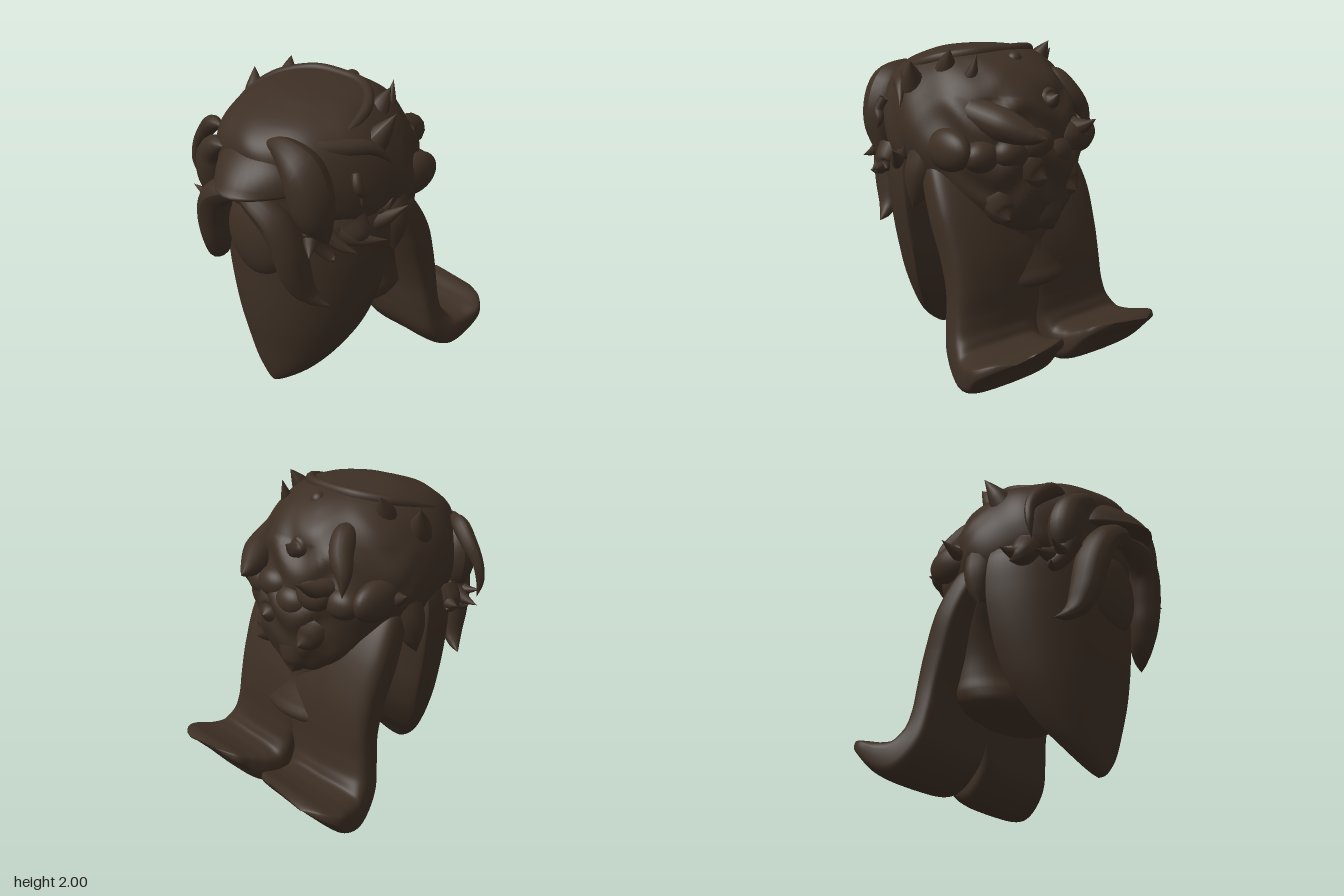
import * as THREE from 'three';
import { ParametricGeometry } from 'three/addons/geometries/ParametricGeometry.js';

const material = new THREE.MeshStandardMaterial({ color: 0x3d2f24, side: THREE.DoubleSide });

// Smoothly interpolates rows of numbers; t runs 0..1 over the rows.
function sampler(rows) {
  const n = rows.length - 1;
  return (t) => {
    const f = Math.min(Math.max(t, 0), 1) * n;
    const i = Math.min(Math.floor(f), n - 1), w = f - i;
    const at = (k) => rows[Math.min(Math.max(k, 0), n)];
    return rows[0].map((_, c) => {
      const a = at(i - 1)[c], b = at(i)[c], d = at(i + 1)[c], e = at(i + 2)[c];
      return b + 0.5 * w * (d - a + w * (2 * a - 5 * b + 4 * d - e + w * (3 * (b - d) + e - a)));
    });
  };
}

// Tapered lock of hair; each point is [x, y, z, radius].
function lock(points, squash = [1, 1, 1], segments = 24) {
  const at = sampler(points);
  const curve = new THREE.Curve();
  curve.getPoint = (t, target = new THREE.Vector3()) => target.set(...at(t).slice(0, 3));
  curve.getPointAt = curve.getPoint;
  const geo = new THREE.TubeGeometry(curve, segments, 1, 12);
  const p = geo.attributes.position, v = new THREE.Vector3(), c = new THREE.Vector3();
  const k = new THREE.Vector3(...squash);
  for (let i = 0; i < p.count; i++) {
    const t = Math.floor(i / 13) / segments;
    curve.getPoint(t, c);
    v.fromBufferAttribute(p, i).sub(c).multiplyScalar(Math.max(at(t)[3], 0.0005)).multiply(k).add(c);
    p.setXYZ(i, v.x, v.y, v.z);
  }
  geo.computeVertexNormals();
  return geo;
}

// Rounded clump of hair.
function clump(x, y, z, rx, ry, rz) {
  return new THREE.SphereGeometry(1, 28, 20).scale(rx, ry, rz).translate(x, y, z);
}

export function createModel() {
  const group = new THREE.Group();
  const add = (name, geometry) => {
    const mesh = new THREE.Mesh(geometry, material);
    mesh.name = name;
    group.add(mesh);
  };

  // Head of hair: rows of y, half width, front z, back z
  const head = sampler([
    [0.86, 0.02, -0.28, -0.32], [0.9, 0.25, -0.1, -0.45], [1.05, 0.4, 0.1, -0.54], [1.2, 0.52, 0.5, -0.57],
    [1.35, 0.59, 0.68, -0.58], [1.5, 0.61, 0.71, -0.54], [1.65, 0.58, 0.73, -0.5], [1.78, 0.52, 0.71, -0.44],
    [1.88, 0.44, 0.6, -0.34], [1.95, 0.34, 0.42, -0.22], [1.98, 0.22, 0.3, -0.11], [1.99, 0.001, 0.11, 0.11],
  ]);
  add('headHair', new ParametricGeometry((u, v, target) => {
    const [y, hw, zf, zb] = head(v);
    const a = u * Math.PI * 2, back = Math.max(0, Math.sin(a));
    const wave = 1 + Math.sin(v * Math.PI) * (0.015 * Math.sin(a * 9 + v * 14)
      + 0.025 * back * Math.sin(v * 38 + 2 * Math.cos(a * 7)) * (v < 0.6 ? 1 : 0.3));
    target.set(hw * Math.cos(a) * wave, y, (zf + zb) / 2 - (zf - zb) / 2 * Math.sin(a) * wave);
  }, 96, 72));

  // Nape under the head
  const nape = sampler([
    [0.45, 0.01, -0.12, -0.14], [0.455, 0.24, 0.0, -0.26], [0.5, 0.36, 0.11, -0.4], [0.58, 0.4, 0.13, -0.53],
    [0.68, 0.4, 0.09, -0.5], [0.82, 0.41, 0.08, -0.45], [1.0, 0.46, 0.1, -0.45], [1.2, 0.5, 0.2, -0.4],
  ]);
  add('napeHair', new ParametricGeometry((u, v, target) => {
    const [y, hw, zf, zb] = nape(v), a = u * Math.PI * 2;
    target.set(hw * Math.cos(a), y, (zf + zb) / 2 - (zf - zb) / 2 * Math.sin(a));
  }, 40, 32));

  // Beard: a full wedge, round in front, flatter behind, narrowing to a point
  const beard = sampler([
    [0.005, 0.005, 0.53, 0.5], [0.04, 0.08, 0.555, 0.47], [0.15, 0.22, 0.58, 0.4], [0.3, 0.34, 0.605, 0.3],
    [0.5, 0.45, 0.64, 0.2], [0.7, 0.52, 0.66, 0.145], [0.9, 0.57, 0.665, 0.125], [1.1, 0.6, 0.67, 0.115],
    [1.3, 0.6, 0.66, 0.13], [1.45, 0.54, 0.6, 0.15],
  ]);
  add('beard', new ParametricGeometry((u, v, target) => {
    const [y, hw, zf, zb] = beard(v), a = u * Math.PI * 2, s = -Math.sin(a);
    target.set(hw * Math.cos(a), y, zb + (zf - zb) * s * (s > 0 ? 1 : 0.1));
  }, 64, 48));
  add('chinTuft', clump(0, 1.17, 0.61, 0.245, 0.28, 0.12));

  // Fringe bulging over the nose, flat below
  const fringe = new THREE.SphereGeometry(1, 40, 28);
  const fp = fringe.attributes.position;
  for (let i = 0; i < fp.count; i++) {
    const x = fp.getX(i), y = fp.getY(i), z = fp.getZ(i);
    const nose = Math.max(0, z) * (1 - x * x) * Math.max(0, 1 - y);
    fp.setXYZ(i, 0.02 + 0.31 * x, 1.56 + (y > 0 ? 0.22 : 0.06) * y, 0.61 + 0.17 * z + 0.11 * nose);
  }
  fringe.computeVertexNormals();
  add('noseFringe', fringe);

  for (const s of [-1, 1]) {
    const side = s < 0 ? 'right' : 'left';
    const mirror = (pts) => pts.map(([x, ...rest]) => [s * x, ...rest]);

    // Moustache
    add(side + 'Moustache', lock(mirror([
      [0, 1.5, 0.74, 0.05], [0.13, 1.47, 0.75, 0.075], [0.25, 1.38, 0.73, 0.09], [0.31, 1.22, 0.69, 0.1],
      [0.335, 1.05, 0.66, 0.09], [0.37, 0.92, 0.62, 0.065], [0.43, 0.86, 0.58, 0.035], [0.5, 0.83, 0.54, 0],
    ]), [1, 1, 1.15], 36));

    // Tail of hair at the back: rows of y, z, inner x, outer x, half thickness, path angle
    const tail = sampler([
      [1.36, -0.13, -0.06, 0.5, 0.01, 0.2], [1.28, -0.14, -0.06, 0.57, 0.1, 0.3], [1.05, -0.25, -0.06, 0.61, 0.12, 0.4],
      [0.8, -0.34, -0.06, 0.6, 0.12, 0.35], [0.6, -0.385, -0.05, 0.6, 0.11, 0.25], [0.42, -0.4, -0.02, 0.62, 0.105, 0.3],
      [0.27, -0.43, 0.02, 0.65, 0.12, 0.75], [0.16, -0.53, 0.04, 0.69, 0.135, 1.45], [0.175, -0.645, 0.06, 0.72, 0.11, 1.75],
      [0.245, -0.745, 0.09, 0.745, 0.06, 1.95], [0.3, -0.83, 0.13, 0.68, 0.035, 1.9], [0.325, -0.885, 0.27, 0.56, 0.004, 1.8],
    ]);
    add(side + 'BackTail', new ParametricGeometry((u, v, target) => {
      const [y, z, xi, xo, th, ang] = tail(v), a = u * Math.PI * 2;
      const soft = (k) => Math.sign(k) * Math.pow(Math.abs(k), 0.5);
      const cx = soft(Math.cos(a)), d = soft(Math.sin(a)) * th;
      const bend = 0.06 * Math.max(0, cx) * (1 - v), drop = 0.02 * cx * Math.pow(v, 4);
      target.set(s * ((xi + xo) / 2 + (xo - xi) / 2 * cx), y - drop - d * Math.sin(ang), z + bend + d * Math.cos(ang));
    }, 48, 66));

    // Horn-like tufts, ear-side lock and cheek tuft
    add(side + 'EarClump', clump(s * 0.51, 1.43, -0.22, 0.09, 0.13, 0.19));
    add(side + 'SideHorn', lock(mirror([
      [0.45, 1.7, 0.16, 0.1], [0.51, 1.81, 0.12, 0.065], [0.57, 1.93, 0.06, 0]])));
    add(side + 'CrownHorn', lock(mirror([
      [0.36, 1.83, 0.0, 0.08], [0.38, 1.92, -0.05, 0.05], [0.4, 2.0, -0.1, 0]])));
    add(side + 'EarLock', lock(mirror([
      [0.5, 1.4, 0.0, 0.1], [0.54, 1.25, 0.02, 0.1], [0.56, 1.12, 0.03, 0.06], [0.58, 1.03, 0.05, 0]])));
    add(side + 'CheekTuft', lock(mirror([
      [0.5, 1.34, 0.36, 0.1], [0.57, 1.26, 0.35, 0.07], [0.6, 1.24, 0.29, 0]])));
    // Small curl at the end of the temple hair
    add(side + 'TempleCurl', lock(mirror([
      [0.4, 1.36, 0.6, 0.08], [0.44, 1.24, 0.56, 0.055], [0.5, 1.17, 0.53, 0.035], [0.55, 1.18, 0.56, 0]])));
  }

  // Temple hair: a broad swept lock on the left, a narrower one on the right
  add('leftTempleLock', lock([
    [0.06, 1.8, 0.64, 0], [0.2, 1.8, 0.62, 0.07], [0.34, 1.71, 0.61, 0.13], [0.4, 1.57, 0.6, 0.14],
    [0.42, 1.43, 0.59, 0.12], [0.45, 1.3, 0.55, 0.06], [0.48, 1.22, 0.52, 0]]));
  add('rightTempleLock', lock([
    [-0.2, 1.7, 0.68, 0], [-0.3, 1.67, 0.65, 0.06], [-0.39, 1.58, 0.6, 0.1], [-0.42, 1.45, 0.58, 0.11],
    [-0.41, 1.32, 0.57, 0.08], [-0.43, 1.22, 0.55, 0]]));

  // Ridge around the crown
  add('crownRidge', lock([
    [-0.4, 1.82, 0.43, 0], [-0.41, 1.87, 0.25, 0.028], [-0.36, 1.93, 0.06, 0.035], [-0.2, 1.965, -0.09, 0.035],
    [0, 1.97, -0.12, 0.035], [0.2, 1.965, -0.09, 0.035], [0.36, 1.93, 0.06, 0.035], [0.41, 1.87, 0.25, 0.028],
    [0.38, 1.82, 0.43, 0]], [1, 1, 1], 48));
  add('crownBump', clump(0, 1.92, -0.22, 0.05, 0.05, 0.05));

  // Long loose locks
  add('rightOuterLock', lock([
    [-0.35, 1.74, 0.55, 0], [-0.47, 1.72, 0.52, 0.05], [-0.58, 1.63, 0.49, 0.05], [-0.66, 1.52, 0.49, 0.035],
    [-0.68, 1.4, 0.5, 0.025], [-0.66, 1.29, 0.5, 0]]));
  add('leftOuterLock', lock([
    [0.15, 1.78, 0.64, 0], [0.28, 1.79, 0.53, 0.05], [0.43, 1.78, 0.36, 0.055], [0.53, 1.76, 0.22, 0.04],
    [0.61, 1.65, 0.12, 0]]));
  add('leftCurl', lock([
    [0.55, 1.67, 0.38, 0.03], [0.58, 1.6, 0.4, 0.03], [0.59, 1.54, 0.37, 0.025], [0.6, 1.48, 0.39, 0]]));
  add('rightBackLock', lock([
    [-0.25, 1.83, -0.18, 0], [-0.28, 1.8, -0.26, 0.07], [-0.34, 1.7, -0.35, 0.075], [-0.41, 1.6, -0.4, 0.05],
    [-0.44, 1.48, -0.44, 0]]));
  add('leftBackSpike', lock([
    [0.36, 1.64, -0.25, 0.1], [0.28, 1.58, -0.46, 0.1], [0.2, 1.53, -0.6, 0.06], [0.16, 1.52, -0.7, 0]]));

  // Short spikes: base, tip, base radius
  const spikes = [
    [0.5, 1.27, 0.25, 0.7, 1.4, 0.08, 0.07], [0.48, 1.28, 0.45, 0.7, 1.25, 0.27, 0.06],
    [0.45, 1.3, 0.52, 0.62, 1.2, 0.44, 0.05], [0.4, 1.35, 0.6, 0.5, 1.24, 0.72, 0.05],
    [-0.5, 1.42, -0.1, -0.7, 1.5, -0.17, 0.06],
    [-0.5, 1.3, 0.36, -0.69, 1.3, 0.28, 0.06], [-0.4, 1.3, 0.52, -0.65, 1.22, 0.52, 0.06],
    [-0.4, 1.28, 0.58, -0.6, 1.29, 0.6, 0.045], [-0.3, 1.5, -0.42, -0.28, 1.58, -0.65, 0.07],
    [0.32, 1.82, -0.18, 0.31, 1.98, -0.24, 0.05], [-0.08, 1.7, -0.44, -0.07, 1.74, -0.54, 0.07],
    [0.1, 1.3, -0.48, 0.08, 1.26, -0.61, 0.13], [-0.2, 1.22, -0.43, -0.2, 1.14, -0.58, 0.13],
    [0.25, 1.1, -0.38, 0.28, 1.02, -0.51, 0.13], [-0.05, 1.04, -0.44, -0.07, 0.9, -0.52, 0.13],
    [0.54, 1.35, 0.17, 0.6, 1.42, 0.1, 0.06],
  ];
  for (const [x, y, z, X, Y, Z, r] of spikes) {
    add('hairSpike', lock([[x, y, z, r], [(x + X) / 2, (y + Y) / 2 - 0.02, (z + Z) / 2, r * 0.65], [X, Y, Z, 0]], [1, 1, 1], 12));
  }
  // Low swells on the back of the head
  for (let i = 0; i < 6; i++) {
    const x = -0.38 + i * 0.152;
    add('backClump', clump(x, 1.42 + 0.04 * Math.sin(i * 2.4), -0.5 + 0.85 * x * x, 0.13, 0.1, 0.1));
  }
  return group;
}
